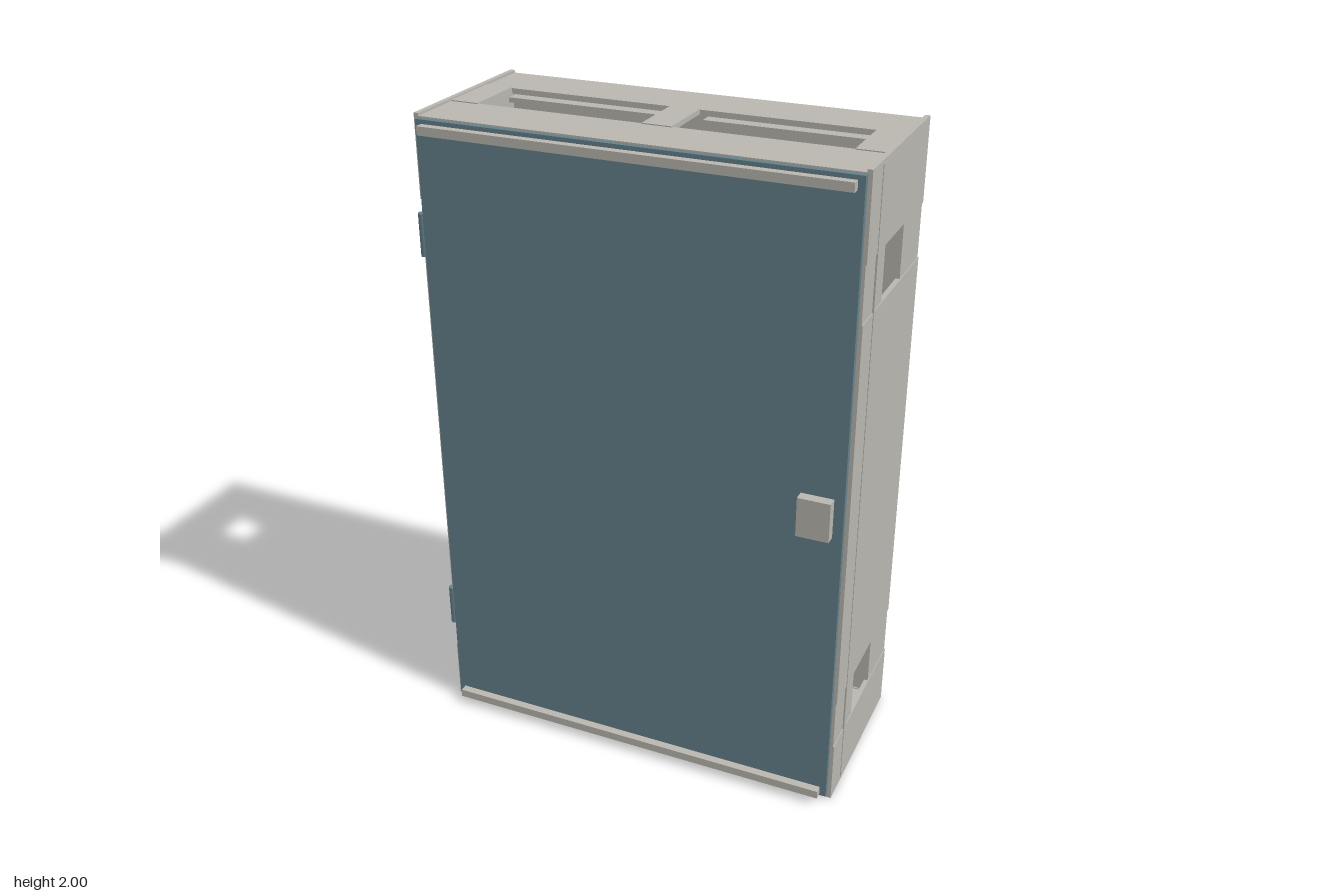
import * as THREE from 'three';

export function createModel() {
  const cabinet = new THREE.Group();
  cabinet.name = 'cabinet';
  const grey = new THREE.MeshStandardMaterial({ color: 0xb9b7b0 });
  grey.name = 'warm grey metal';
  const blue = new THREE.MeshStandardMaterial({ color: 0x65818c });
  blue.name = 'blue grey door paint';

  // Box given by its minimum and maximum along each axis
  function box(name, [x0, x1], [y0, y1], [z0, z1], material = grey, parent = cabinet) {
    const mesh = new THREE.Mesh(new THREE.BoxGeometry(x1 - x0, y1 - y0, z1 - z0), material);
    mesh.position.set((x0 + x1) / 2, (y0 + y1) / 2, (z0 + z1) / 2);
    mesh.name = name;
    parent.add(mesh);
    return mesh;
  }

  // Side walls: three panels with open slots between corner tabs
  for (const side of [-1, 1]) {
    const wall = new THREE.Group();
    wall.name = side > 0 ? 'leftWall' : 'rightWall';
    cabinet.add(wall);
    const span = (inner, outer) => (side > 0 ? [inner, outer] : [-outer, -inner]);
    const skin = span(0.647, 0.662);
    for (const y of [[0, 0.2], [0.36, 1.585], [1.75, 2]]) {
      box('sidePanel', skin, y, [-0.3, 0.25], grey, wall);
    }
    for (const y of [[0.2, 0.36], [1.585, 1.75]]) {
      box('slotTabFront', span(0.647, 0.659), y, [0.07, 0.25], grey, wall);
      box('slotTabBack', span(0.647, 0.659), y, [-0.3, -0.11], grey, wall);
    }
    box('sideSeam', span(0.657, 0.664), [0.01, 1.99], [0.143, 0.157], grey, wall);
  }

  // Back panel between a top and a bottom lip
  box('backPanel', [-0.647, 0.647], [0.02, 1.98], [-0.298, -0.285]);
  box('backLipTop', [-0.647, 0.647], [1.975, 1.992], [-0.3, -0.28]);
  box('backLipBottom', [-0.647, 0.647], [0.008, 0.025], [-0.3, -0.28]);

  // Roof and floor: front and back plates, cross tabs and recessed slot flanges
  for (const roof of [true, false]) {
    const frame = new THREE.Group();
    frame.name = roof ? 'roof' : 'floor';
    cabinet.add(frame);
    const span = (low, high) => (roof ? [2 - high, 2 - low] : [low, high]);
    const plate = span(0.008, 0.022);
    box('frontPlate', [-0.647, 0.647], plate, [0.067, 0.25], grey, frame);
    box('backPlate', [-0.647, 0.647], plate, [-0.298, -0.127], grey, frame);
    for (const x of [[-0.647, -0.56], [-0.045, 0.045], [0.562, 0.647]]) {
      box('crossTab', x, span(0.005, 0.02), [-0.13, 0.074], grey, frame);
    }
    for (const x of [[-0.56, -0.06], [0.062, 0.562]]) {
      box('slotFlangeFront', x, span(0.03, 0.045), [0.05, 0.085], grey, frame);
      box('slotFlangeBack', x, span(0.03, 0.045), [-0.145, -0.105], grey, frame);
    }
  }

  // Door with rails and a square latch
  const door = new THREE.Group();
  door.name = 'door';
  cabinet.add(door);
  box('doorPanel', [-0.648, 0.65], [0.015, 1.988], [0.247, 0.267], blue, door);
  for (const y of [0.04, 1.965]) {
    box('doorRail', [-0.625, 0.632], [y - 0.013, y + 0.013], [0.274, 0.299], grey, door);
    for (const x of [-0.5, 0.5]) {
      box('railMount', [x - 0.01, x + 0.01], [y - 0.006, y + 0.006], [0.264, 0.276], grey, door);
    }
  }
  box('doorLatch', [0.522, 0.62], [0.942, 1.065], [0.265, 0.299], grey, door);

  // Hinges on the door's right edge: a barrel and a leaf on the side wall
  for (const y of [[0.297, 0.43], [1.58, 1.71]]) {
    const hinge = new THREE.Group();
    hinge.name = 'hinge';
    cabinet.add(hinge);
    const barrel = new THREE.Mesh(new THREE.CylinderGeometry(0.014, 0.014, y[1] - y[0], 16), blue);
    barrel.name = 'hingeBarrel';
    barrel.position.set(-0.657, (y[0] + y[1]) / 2, 0.252);
    hinge.add(barrel);
    box('hingeLeaf', [-0.667, -0.658], y, [0.21, 0.25], blue, hinge);
  }
  return cabinet;
}
